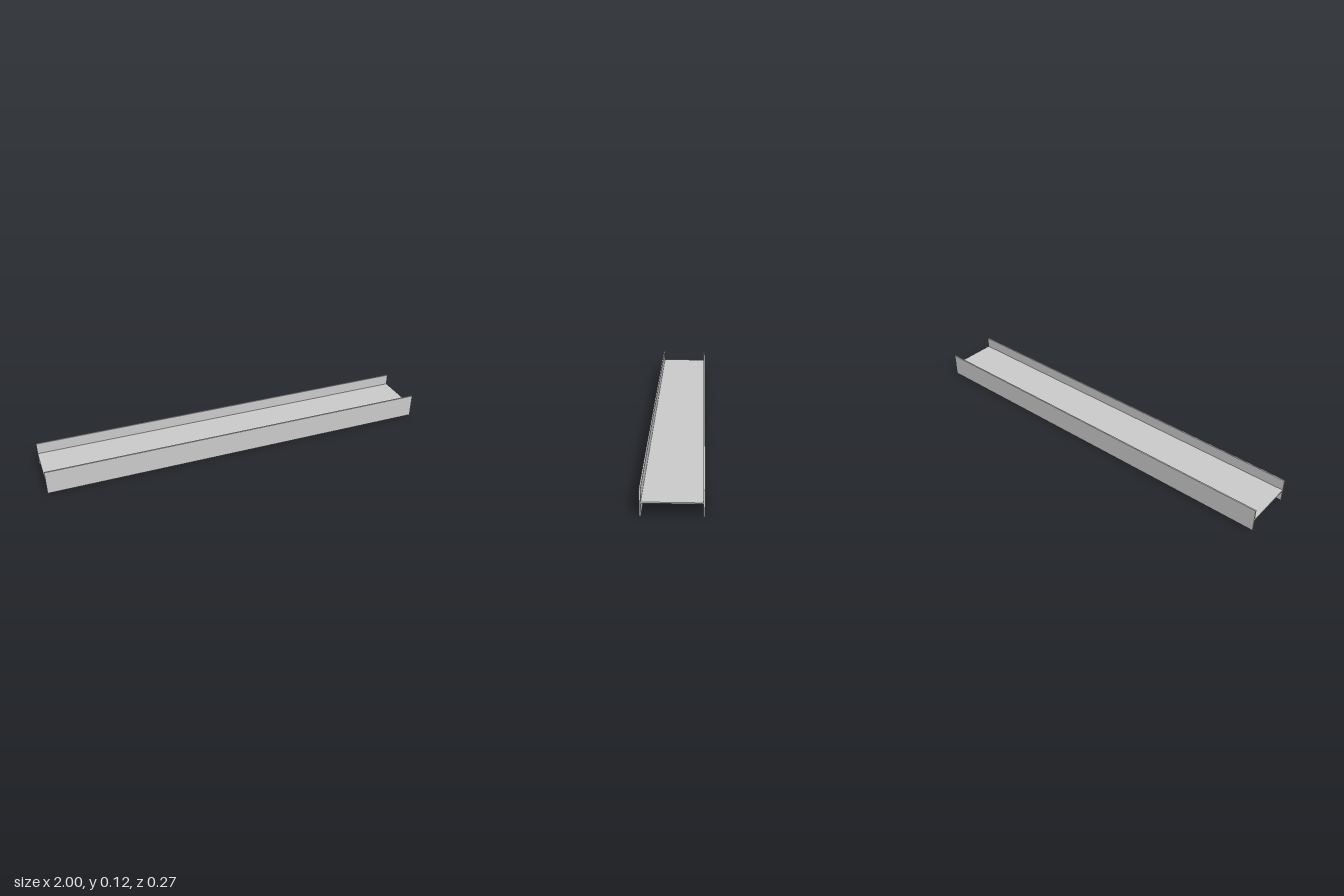
import * as THREE from 'three';

const LENGTH = 2;
const HEIGHT = 0.12;      // flange height
const HALF_DEPTH = 0.133; // centre to outer flange face
const FLANGE = 0.007;     // flange thickness
const WEB = 0.006;        // web thickness

export function createModel() {
  const group = new THREE.Group();
  group.name = 'hBeam';

  // H-shaped cross-section, counter-clockwise, centred on the origin
  const o = HALF_DEPTH, i = HALF_DEPTH - FLANGE, h = HEIGHT / 2, w = WEB / 2;
  const right = [[i, -w], [i, -h], [o, -h], [o, h], [i, h], [i, w]];
  const left = right.map(([x, y]) => [-x, -y]);
  const section = new THREE.Shape([...right, ...left].map(([x, y]) => new THREE.Vector2(x, y)));

  // Sweep the section along x and stand it on the ground
  const geometry = new THREE.ExtrudeGeometry(section, { depth: LENGTH, bevelEnabled: false });
  geometry.translate(0, h, -LENGTH / 2);
  geometry.rotateY(Math.PI / 2);

  const beam = new THREE.Mesh(geometry, new THREE.MeshStandardMaterial({ color: 0xcccccc }));
  beam.name = 'beam';
  group.add(beam);
  return group;
}
